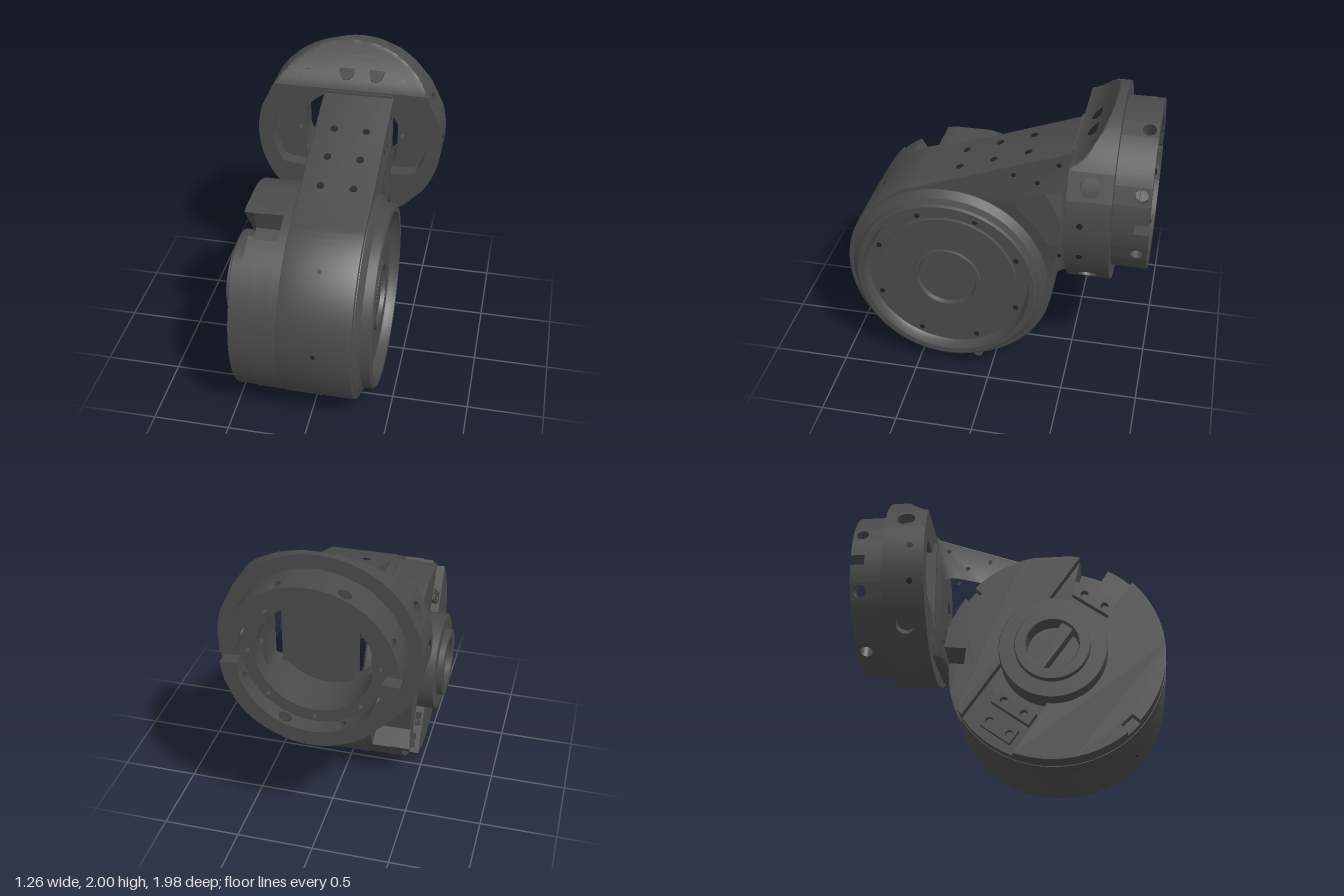
import * as THREE from 'three';
import { toCreasedNormals } from 'three/addons/utils/BufferGeometryUtils.js';

const metal = new THREE.MeshStandardMaterial({ color: 0x4a4a4a });
const dark = new THREE.MeshStandardMaterial({ color: 0x222222 });
const RAD = Math.PI / 180;
const DRUM = { y: 0.69, z: 0.3 }, RING_Y = 1.37, TILT = 36 * RAD;

function add(parent, name, geo, mat = metal) {
  const m = new THREE.Mesh(toCreasedNormals(geo, 0.5), mat);
  m.name = name;
  parent.add(m);
  return m;
}
const extrude = (shape, depth, opts = {}) =>
  new THREE.ExtrudeGeometry(shape, { depth, bevelEnabled: false, curveSegments: 32, ...opts });
const poly = pts => new THREE.Shape(pts.map(p => new THREE.Vector2(...p)));
const circle = (r, x = 0, y = 0) => new THREE.Path().absarc(x, y, r, 0, Math.PI * 2);

// Move vertices by a rule
function warp(geo, rule) {
  const p = geo.attributes.position, v = new THREE.Vector3();
  for (let i = 0; i < p.count; i++) {
    rule(v.fromBufferAttribute(p, i));
    p.setXYZ(i, v.x, v.y, v.z);
  }
  return geo;
}

// Lathe about the drum axis, profile as [radius, x]
const latheX = pts => new THREE.LatheGeometry(pts.map(p => new THREE.Vector2(...p)), 80)
  .rotateZ(-Math.PI / 2).translate(0, DRUM.y, DRUM.z);

// Small sunk screw hole shown as a dark disc facing dir, optionally elongated
function screw(parent, pos, dir, r, stretch = 1) {
  const m = add(parent, 'screwHole', new THREE.CylinderGeometry(r, r, 0.008, 16), dark);
  m.position.set(...pos);
  m.scale.z = stretch;
  m.quaternion.setFromUnitVectors(new THREE.Vector3(0, 1, 0), new THREE.Vector3(...dir).normalize());
}

// Housing drum and arm as one side outline, extruded along x
function housing() {
  const g = new THREE.Group();
  g.name = 'housing';
  const s = new THREE.Shape();
  s.moveTo(-0.53, 1.34);
  s.lineTo(0.5, 1.715);
  s.lineTo(0.5, 0.84);
  s.quadraticCurveTo(0.4, 0.83, 0.39, 0.69);
  s.absarc(-0.3, DRUM.y, 0.69, 0, 109.6 * RAD, true);
  const win = [[0.128, 1.29], [0.135, 1.33], [0.18, 1.365], [0.28, 1.397], [0.39, 1.42], [0.44, 1.405], [0.458, 1.36],
    [0.461, 1.2], [0.46, 1.06], [0.445, 1.015], [0.4, 0.995], [0.34, 1.015], [0.305, 1.07], [0.26, 1.13], [0.2, 1.193],
    [0.145, 1.245]].map(p => new THREE.Vector3(...p, 0));
  const pts = new THREE.CatmullRomCurve3(win, true).getPoints(64).slice(0, -1);
  s.holes.push(new THREE.Path(pts.map(p => new THREE.Vector2(p.x, p.y))));
  const body = extrude(s, 0.44, { bevelEnabled: true, bevelSize: 0.015, bevelThickness: 0.015, bevelOffset: -0.015, bevelSegments: 2 });
  add(g, 'drumAndArm', body.rotateY(Math.PI / 2).translate(-0.155, 0, 0));

  // Output face with lip, recess and hub
  add(g, 'outputFace', latheX([[0.665, 0.28], [0.655, 0.305], [0.61, 0.34], [0.605, 0.4], [0.59, 0.41], [0.555, 0.41],
    [0.55, 0.36], [0.535, 0.335], [0.465, 0.335], [0.46, 0.355], [0.23, 0.355], [0.225, 0.372], [0.2, 0.372],
    [0.19, 0.345], [0, 0.345]]));
  for (let i = 0; i < 8; i++) {
    const a = (22.5 + 45 * i) * RAD;
    screw(g, [0.334, DRUM.y + 0.495 * Math.sin(a), DRUM.z + 0.495 * Math.cos(a)], [1, 0, 0], 0.018);
  }
  const pin = add(g, 'lockPin', new THREE.CylinderGeometry(0.035, 0.035, 0.09, 20).rotateZ(Math.PI / 2));
  pin.position.set(0.345, 0.12, 0.09);

  // Screws on the sloped arm top, its sides and the drum front
  for (const x of [-0.04, 0.17]) for (const z of [-0.2, 0.02, 0.24])
    screw(g, [x, 1.533 - 0.364 * z, z], [0, 1, 0.364], 0.024);
  for (const [x, d] of [[0.297, 1], [-0.167, -1]])
    for (const [y, z] of [[1.51, -0.13], [1.47, -0.28], [1.61, -0.41], [0.94, -0.43]]) screw(g, [x, y, z], [d, 0, 0], 0.015);
  for (const a of [-45, 0, 46])
    screw(g, [0.065, DRUM.y + 0.688 * Math.sin(a * RAD), DRUM.z + 0.688 * Math.cos(a * RAD)], [0, Math.sin(a * RAD), Math.cos(a * RAD)], 0.014);
  return g;
}

// Disc outline with rim notches [from, to, floorRadius]; angles in degrees from up towards the front
function notchedArc(R, from, to, notches) {
  const s = new THREE.Shape(), rad = a => (90 + a) * RAD;
  let a = from;
  for (const [n0, n1, r] of notches) {
    s.absarc(0, 0, R, rad(a), rad(n0), false);
    for (const n of [n0, n1]) s.lineTo(r * Math.cos(rad(n)), r * Math.sin(rad(n)));
    a = n1;
  }
  s.absarc(0, 0, R, rad(a), rad(to), false);
  return s;
}

// Rear cover, split by a tilted channel, with a stepped hub
function cover() {
  const g = new THREE.Group();
  g.name = 'rearCover';
  const layer = (name, shape, x0, x1, tilt = 0) =>
    add(g, name, warp(extrude(shape, x1 - x0).rotateZ(tilt).rotateY(Math.PI / 2).translate(x0, DRUM.y, DRUM.z),
      v => { if (x0 < -0.23) v.y = Math.min(v.y, 1.36); }));

  const deep = [[15, 31, 0.54], [240, 276, 0.54]];
  layer('coverBase', notchedArc(0.685, 0, 360, []), -0.22, -0.16);
  layer('coverBody', notchedArc(0.685, 0, 360, deep), -0.34, -0.22);
  layer('coverStep', notchedArc(0.68, 0, 360, deep), -0.41, -0.34);
  layer('frontCheek', notchedArc(0.68, 47, 202, [[132, 141, 0.62]]), -0.47, -0.41);
  layer('backCheek', notchedArc(0.68, 236, 375, [[240, 276, 0.54], [306, 314, 0.62]]), -0.47, -0.41);

  // Clamp pads inside the channel
  for (const [q, w, h, t] of [[0.44, 0.28, 0.08, 0.05], [-0.42, 0.28, 0.09, 0.05], [-0.57, 0.22, 0.1, 0.035]]) {
    const s = poly([[-w / 2, q - h / 2], [w / 2, q - h / 2], [w / 2, q + h / 2], [-w / 2, q + h / 2]]);
    for (const p of [-0.075, 0.075]) s.holes.push(circle(0.025, p, q));
    layer('clampPad', s, -0.41 - t, -0.41, TILT);
  }
  add(g, 'rearHub', latheX([[0, -0.49], [0.16, -0.49], [0.16, -0.605], [0.165, -0.61], [0.225, -0.61], [0.23, -0.605],
    [0.23, -0.57], [0.325, -0.57], [0.33, -0.565], [0.33, -0.4]]));
  layer('hubBar', poly([[-0.04, -0.17], [0.04, -0.17], [0.04, 0.17], [-0.04, 0.17]]), -0.58, -0.48, TILT);
  return g;
}

// Upper limit of the flange: the concave cut along its front top
function trimTop(v) {
  const t = Math.max(0, (-0.5 - v.z) / 0.22);
  v.y = Math.min(v.y, 1.735 + 0.08 * t + 0.19 * t * t);
}

// Ring wall about z made of arc sectors, flat drilled panels and edge notches
function drilledRing(g, name, R, r, z0, z1, features, detail) {
  const finish = geo => add(g, name, warp(geo.translate(0, RING_Y, 0), trimTop));
  const sector = (a, b, za) => {
    const s = new THREE.Shape();
    s.absarc(0, 0, R, a * RAD, b * RAD, false);
    s.absarc(0, 0, r, b * RAD, a * RAD, true);
    finish(extrude(s, z1 - za, detail).translate(0, 0, za));
  };
  features.forEach((f, i) => {
    const next = features[(i + 1) % features.length];
    sector(f.a + f.half, next.a - next.half + (next.a <= f.a ? 360 : 0), z0);
    if (f.notch) return sector(f.a - f.half, f.a + f.half, f.notch);
    const w = R * Math.sin(f.half * RAD), c = Math.cos(f.a * RAD), s = Math.sin(f.a * RAD);
    const panel = poly([[-w, z0], [w, z0], [w, z1], [-w, z1]]);
    panel.holes.push(circle(f.r, 0, f.z));
    const m = new THREE.Matrix4().makeBasis(new THREE.Vector3(-s, c, 0), new THREE.Vector3(0, 0, 1), new THREE.Vector3(c, s, 0));
    finish(extrude(panel, R * Math.cos(f.half * RAD) - r, { curveSegments: 10 }).translate(0, 0, r).applyMatrix4(m));
  });
}

// Flange with side pockets, through bore and drilled rear collar
function flange() {
  const g = new THREE.Group();
  g.name = 'flange';
  drilledRing(g, 'flangeRim', 0.63, 0.54, -0.77, -0.5,
    [26, 154, 224, 316].map(a => ({ a, half: 8, z: -0.635, r: 0.06 })), { steps: 24, curveSegments: 24 });
  const disc = (name, R, holes, z0, z1, steps) => {
    const s = new THREE.Shape();
    s.absarc(0, 0, R, 0, Math.PI * 2);
    s.holes.push(...holes);
    add(g, name, warp(extrude(s, z1 - z0, { steps }).translate(0, RING_Y, z0), trimTop));
  };
  // Front layer opening: bore joined with a pocket on each side
  const pocket = new THREE.Path();
  const t = Math.asin(0.15 / 0.36), b = Math.asin(0.25 / 0.36);
  pocket.absarc(0, 0, 0.36, t, Math.PI - t, false);
  const side = [[0.47, 0.15], [0.51, 0.11], [0.53, 0.03], [0.53, -0.06], [0.51, -0.13], [0.47, -0.22], [0.42, -0.24]];
  side.forEach(([x, y]) => pocket.lineTo(-x, y));
  pocket.absarc(0, 0, 0.36, Math.PI + b, 2 * Math.PI - b, false);
  [...side].reverse().forEach(([x, y]) => pocket.lineTo(x, y));
  disc('pocketLayer', 0.56, [pocket], -0.6, -0.5, 12);
  // Bore with flat sides
  const bore = new THREE.Path();
  for (const a of [27, 207]) bore.absarc(0, 0, 0.36, a * RAD, (a + 126) * RAD, false);
  disc('boreLayer', 0.56, [bore, circle(0.018, 0.355), circle(0.018, -0.355)], -0.77, -0.6, 16);

  // Web joining the arm end to the flange
  add(g, 'armWeb', new THREE.BoxGeometry(0.45, 0.8, 0.09).translate(0.065, 1.325, -0.53));

  // Rear collar with eight radial holes and two side slots
  const feats = [];
  for (let i = 0; i < 8; i++) {
    if (i % 4 === 0) feats.push({ a: i * 45, half: 3.7, notch: -0.9 });
    feats.push({ a: 22.5 + 45 * i, half: 6, z: -0.93, r: 0.042 });
  }
  drilledRing(g, 'rearCollar', 0.54, 0.44, -0.99, -0.76, feats, { curveSegments: 6 });
  const bolts = [];
  for (let i = 0; i < 8; i++) bolts.push(circle(0.016, 0.405 * Math.cos(i * Math.PI / 4), 0.405 * Math.sin(i * Math.PI / 4)));
  disc('boreLedge', 0.445, [circle(0.36), ...bolts], -0.88, -0.77, 1);

  // Screws through the sloped front and the rim
  for (const x of [-0.035, 0.165]) screw(g, [x, 1.825, -0.615], [0, 0.72, 0.69], 0.052, 1.4);
  for (const sx of [-1, 1]) for (const y of [0.04, -0.2])
    screw(g, [sx * Math.sqrt(0.628 ** 2 - y * y), RING_Y + y, -0.59], [sx, y / 0.6, 0], 0.02);
  return g;
}

export function createModel() {
  const model = new THREE.Group();
  model.name = 'jointHousing';
  model.add(housing(), cover(), flange());
  return model;
}
